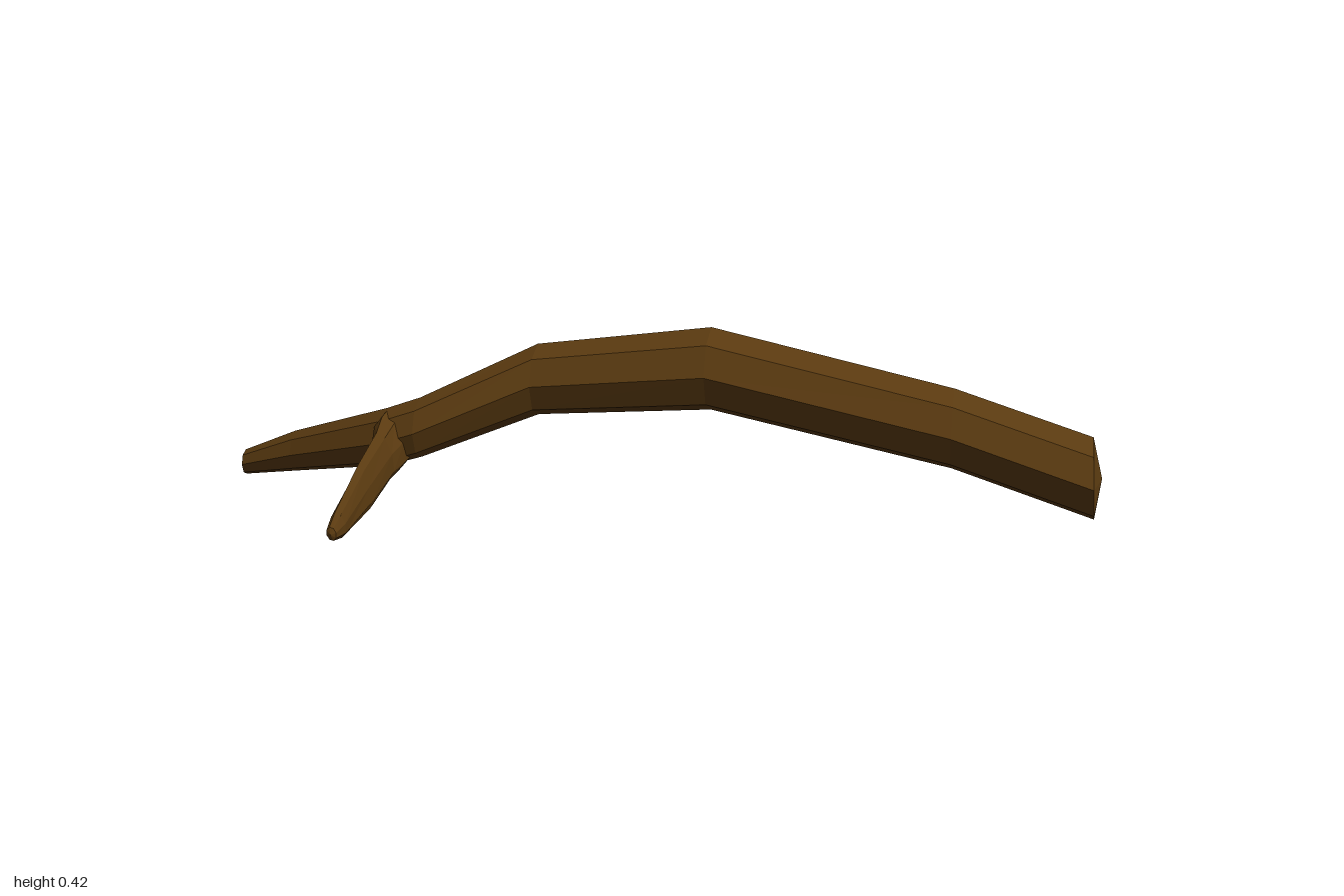
import * as THREE from 'three';

const SIDES = 8;

// Skin a run of rings (arrays of Vector3) and close both ends with a cap point
function loft(rings, startTip, endTip) {
  const pos = [];
  const tri = (...pts) => pts.forEach((p) => pos.push(p.x, p.y, p.z));
  const last = rings.length - 1;
  for (let j = 0; j < SIDES; j++) {
    const k = (j + 1) % SIDES;
    for (let i = 0; i < last; i++) {
      const a = rings[i], b = rings[i + 1];
      tri(a[j], a[k], b[j]);
      tri(a[k], b[k], b[j]);
    }
    tri(startTip, rings[0][k], rings[0][j]);
    tri(endTip, rings[last][j], rings[last][k]);
  }
  const geometry = new THREE.BufferGeometry();
  geometry.setAttribute('position', new THREE.Float32BufferAttribute(pos, 3));
  geometry.computeVertexNormals();
  return geometry;
}

// One ring: centre plus u and v half axes
function ring(center, u, v) {
  return Array.from({ length: SIDES }, (_, j) => {
    const t = (j / SIDES) * Math.PI * 2;
    return center.clone().addScaledVector(u, Math.cos(t)).addScaledVector(v, Math.sin(t));
  });
}

const vec = (x, y, z) => new THREE.Vector3(x, y, z);

export function createModel() {
  const group = new THREE.Group();
  group.name = 'branch';
  const bark = new THREE.MeshStandardMaterial({ color: 0x5a3a10 });
  bark.name = 'bark brown';
  bark.flatShading = true;

  const add = (name, geometry) => {
    const mesh = new THREE.Mesh(geometry, bark);
    mesh.name = name;
    group.add(mesh);
  };

  // Main limb, thin end to thick end: x, y, z, half height, half depth, lean of the ring
  const limb = [
    [-0.995, 0.058, -0.17, 0.03, 0.027, 0],
    [-0.86, 0.097, -0.156, 0.049, 0.045, 0],
    [-0.61, 0.162, -0.092, 0.068, 0.062, 0],
    [-0.53, 0.188, -0.098, 0.07, 0.066, 0],
    [-0.275, 0.293, -0.188, 0.083, 0.082, 0],
    [0.118, 0.326, -0.237, 0.096, 0.097, 0],
    [0.665, 0.203, -0.285, 0.093, 0.095, 0],
    [0.981, 0.099, -0.306, 0.096, 0.097, -0.006],
  ].map(([x, y, z, h, d, lean]) => ring(vec(x, y, z), vec(lean, h, 0), vec(0, 0, d)));
  add('mainLimb', loft(limb, vec(-1, 0.056, -0.17), vec(0.999, 0.1, -0.306)));

  // Side twig, flattened and slightly tilted: x, y, z, half width, half height
  const tilt = 0.25;
  const twig = [
    [-0.59, 0.165, -0.1, 0.045, 0.066],
    [-0.588, 0.158, -0.045, 0.036, 0.066],
    [-0.585, 0.146, 0.01, 0.022, 0.056],
    [-0.574, 0.121, 0.17, 0.015, 0.05],
    [-0.565, 0.092, 0.355, 0.016, 0.028],
    [-0.566, 0.085, 0.395, 0.011, 0.015],
  ].map(([x, y, z, w, h]) => ring(
    vec(x, y, z),
    vec(w * Math.cos(tilt), w * Math.sin(tilt), 0),
    vec(-h * Math.sin(tilt), h * Math.cos(tilt), 0),
  ));
  add('sideTwig', loft(twig, vec(-0.59, 0.165, -0.1), vec(-0.566, 0.085, 0.401)));

  return group;
}
